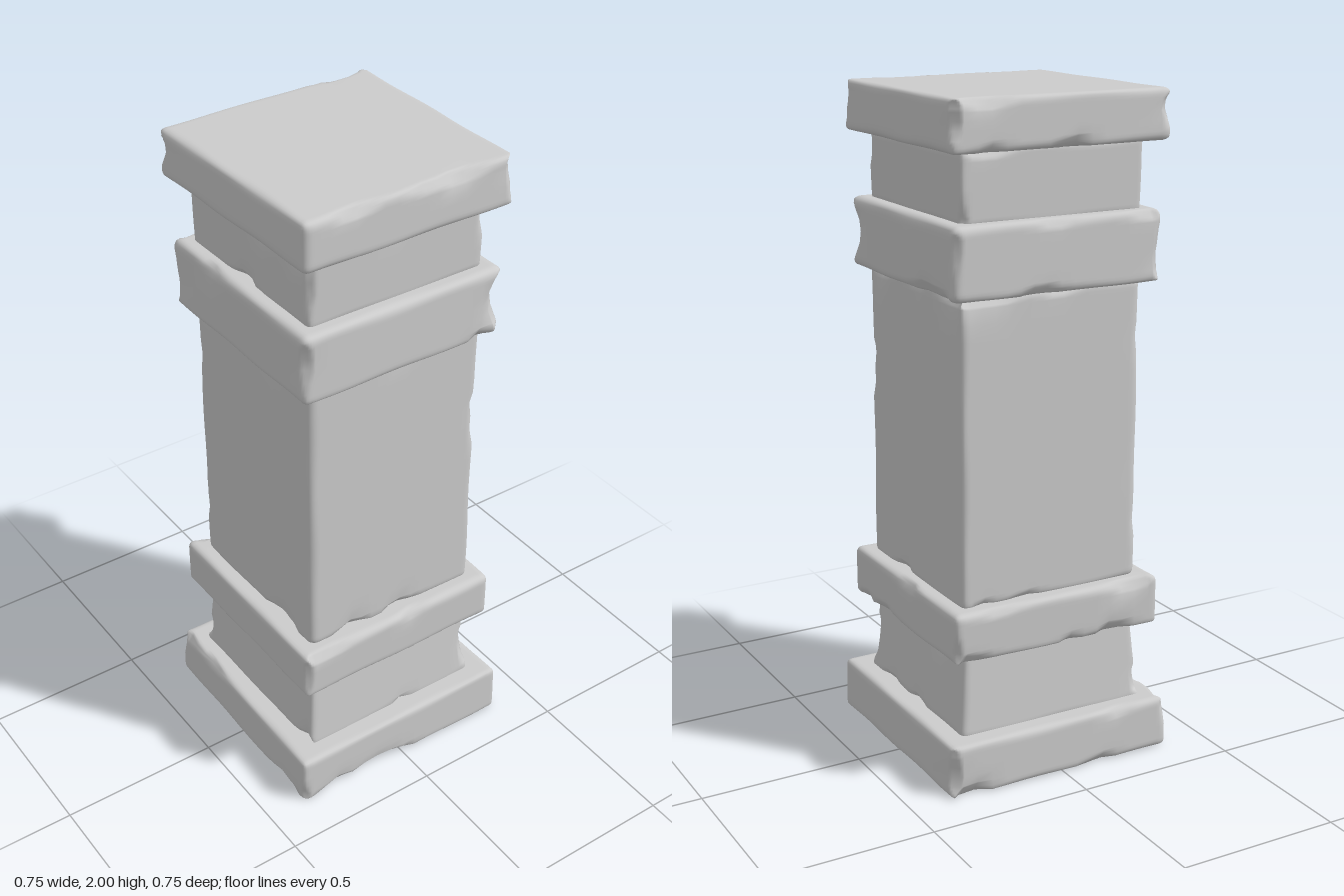
import * as THREE from 'three';
import { mergeVertices } from 'three/addons/utils/BufferGeometryUtils.js';

const material = new THREE.MeshStandardMaterial({ color: 0xcccccc });

function seeded(seed) {
  let s = seed * 7919 + 17;
  return () => (s = (s * 16807) % 2147483647) / 2147483647;
}

// Smooth value in -1..1 used to vary edge wear along a stone
const wear = (p, k) =>
  (Math.sin(p.x * 17 + k * 2.1) + Math.sin(p.y * 15 + k * 3.7) + Math.sin(p.z * 19 + k * 1.3)) / 3;

// Grid coordinates from -h to h, with fine cells near both ends for the worn edges
function gridLine(h, middle) {
  const edge = 0.036, fine = 4, line = [];
  for (let i = 0; i < fine; i++) line.push(-h + (edge * i) / fine);
  for (let i = 0; i <= middle; i++) line.push((h - edge) * ((2 * i) / middle - 1));
  for (let i = 1; i <= fine; i++) line.push(h - edge + (edge * i) / fine);
  return line;
}

// Flat chips along the vertical and horizontal edges
function makeChips(h, count, random) {
  const chips = [];
  for (let i = 0; i < count; i++) {
    const sx = random() < 0.5 ? -1 : 1, sz = random() < 0.5 ? -1 : 1;
    const sy = random() < 0.5 ? -1 : 1, kind = Math.floor(random() * 3);
    const along = random() * 1.8 - 0.9;
    const n = new THREE.Vector3(sx, sy * 0.7, sz);
    const c = new THREE.Vector3(sx * h.x, sy * h.y, sz * h.z);
    const axis = ['x', 'y', 'z'][kind];
    n[axis] = (random() - 0.5) * 0.3;
    c[axis] = along * h[axis];
    chips.push({ axis, c, n: n.normalize(), depth: 0.016 + random() * 0.012, reach: 0.04 + random() * 0.06 });
  }
  return chips;
}

// One weathered block: rounded edges of uneven radius, chips, taper and a skewed left flank
function stone({ name, y0, y1, bottom, top, chips, seed, skew = 0, extra = [] }) {
  const widest = Math.max(bottom, top);
  const h = new THREE.Vector3(widest, (y1 - y0) / 2, widest);
  const midXZ = 14, midY = Math.max(3, Math.round(h.y * 40));
  const lx = gridLine(h.x, midXZ), ly = gridLine(h.y, midY);
  const nx = lx.length - 1, ny = ly.length - 1;
  let geometry = new THREE.BoxGeometry(2, 2, 2, nx, ny, nx);
  geometry.deleteAttribute('uv');
  geometry.deleteAttribute('normal');
  geometry = mergeVertices(geometry, 1e-5);

  const list = [...makeChips(h, chips, seeded(seed)), ...extra];
  const position = geometry.attributes.position;
  const p = new THREE.Vector3(), core = new THREE.Vector3(), inner = new THREE.Vector3();
  for (let i = 0; i < position.count; i++) {
    p.fromBufferAttribute(position, i);
    p.set(
      lx[Math.round(((p.x + 1) / 2) * nx)],
      ly[Math.round(((p.y + 1) / 2) * ny)],
      lx[Math.round(((p.z + 1) / 2) * nx)]
    );
    const r = 0.019 + 0.011 * wear(p, seed);
    inner.copy(h).subScalar(r);
    core.copy(p).clamp(inner.clone().negate(), inner);
    p.sub(core).setLength(r).add(core);
    for (const { axis, c, n, depth, reach } of list) {
      const w = Math.abs(p[axis] - c[axis]) / reach;
      if (w >= 1) continue;
      const over = n.dot(p) - n.dot(c) + depth * (1 - w * w);
      if (over > 0 && over < 0.06) p.addScaledVector(n, -over);
    }
    const scale = THREE.MathUtils.lerp(bottom, top, (p.y / h.y + 1) / 2) / widest;
    p.x *= scale;
    p.z *= scale;
    if (p.x < 0) p.x -= skew * (p.z / h.z) * (p.x / h.x);
    position.setXYZ(i, p.x, p.y, p.z);
  }
  geometry.computeVertexNormals();
  const mesh = new THREE.Mesh(geometry, material);
  mesh.name = name;
  mesh.position.y = (y0 + y1) / 2;
  return mesh;
}

export function createModel() {
  const group = new THREE.Group();
  group.name = 'stonePillar';
  // Large broken patches on the front of the base and the corner of the upper band
  const baseChip = {
    axis: 'x', c: new THREE.Vector3(-0.1, -0.08, 0.372),
    n: new THREE.Vector3(0, -0.7, 0.7).normalize(), depth: 0.03, reach: 0.16
  };
  const bandChip = {
    axis: 'y', c: new THREE.Vector3(0.335, 0, 0.335),
    n: new THREE.Vector3(0.7, 0, 0.7).normalize(), depth: 0.042, reach: 0.11
  };
  const blocks = [
    { name: 'base', y0: 0, y1: 0.16, bottom: 0.373, top: 0.371, chips: 12, skew: -0.006, extra: [baseChip] },
    { name: 'lowerNeck', y0: 0.145, y1: 0.41, bottom: 0.31, top: 0.285, chips: 10 },
    { name: 'lowerBand', y0: 0.4, y1: 0.552, bottom: 0.341, top: 0.343, chips: 13 },
    { name: 'shaft', y0: 0.54, y1: 1.46, bottom: 0.294, top: 0.292, chips: 24 },
    { name: 'upperBand', y0: 1.452, y1: 1.66, bottom: 0.337, top: 0.335, chips: 14, extra: [bandChip] },
    { name: 'upperNeck', y0: 1.645, y1: 1.86, bottom: 0.289, top: 0.291, chips: 10 },
    { name: 'cap', y0: 1.853, y1: 2, bottom: 0.345, top: 0.343, chips: 12, skew: 0.008 }
  ];
  blocks.forEach((block, i) => group.add(stone({ ...block, seed: i + 3 })));
  return group;
}
